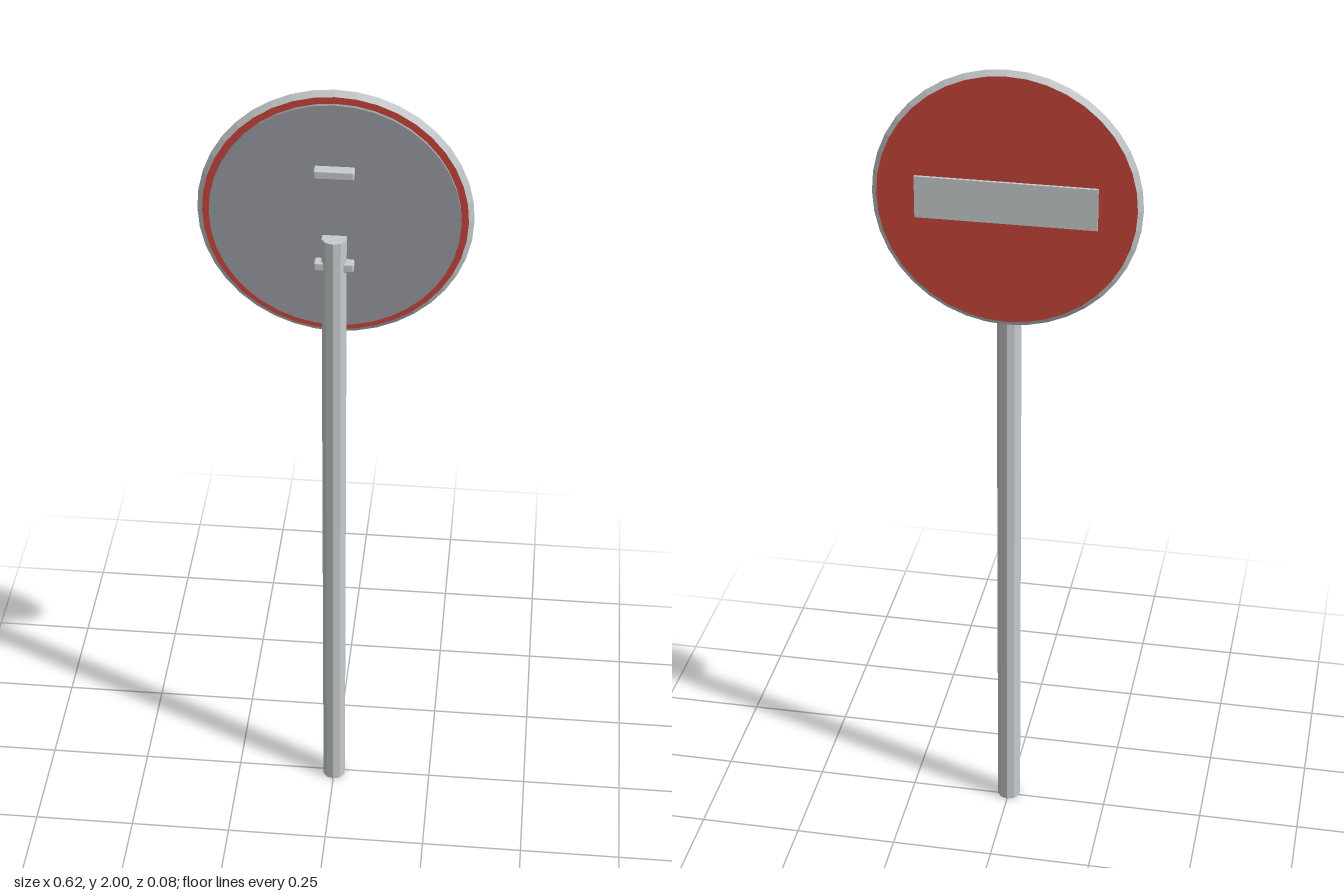
import * as THREE from 'three';
import { RoundedBoxGeometry } from 'three/addons/geometries/RoundedBoxGeometry.js';

const CENTER_Y = 1.689; // height of the sign's centre
const SIDES = 40;

function material(name, color) {
  const m = new THREE.MeshStandardMaterial({ color });
  m.name = name;
  return m;
}

// Gives every face its own normal
function faceted(geometry) {
  const g = geometry.index ? geometry.toNonIndexed() : geometry;
  g.computeVertexNormals();
  return g;
}

// Disc facing along z, between two depths
function disc(radius, z0, z1) {
  const g = new THREE.CylinderGeometry(radius, radius, z1 - z0, SIDES);
  g.rotateX(Math.PI / 2);
  g.translate(0, CENTER_Y, (z0 + z1) / 2);
  return faceted(g);
}

export function createModel() {
  const group = new THREE.Group();
  const metal = material('light metal', 0xc8ccce);
  const backing = material('grey backing', 0x9a9ca4);
  const red = material('sign red', 0xc9443a);

  const add = (name, geometry, mat) => {
    const mesh = new THREE.Mesh(geometry, mat);
    mesh.name = name;
    group.add(mesh);
    return mesh;
  };

  // Ten-sided pole
  const pole = new THREE.CylinderGeometry(0.029, 0.029, 1.645, 10);
  pole.translate(0, 0.8225, 0.007);
  add('pole', faceted(pole), metal);

  // Red sign disc with a bevelled metal rim
  add('signDisc', disc(0.299, -0.033, -0.012), red);
  const profile = [[0.299, -0.033], [0.311, -0.024], [0.311, -0.021], [0.299, -0.012]];
  const rim = new THREE.LatheGeometry(profile.map(([r, z]) => new THREE.Vector2(r, z)), SIDES);
  rim.rotateX(Math.PI / 2);
  rim.translate(0, CENTER_Y, 0);
  add('rim', faceted(rim), metal);

  // Plate behind the disc, on the pole side
  add('backPlate', disc(0.283, -0.012, -0.004), backing);

  // Horizontal bar on the sign face
  const bar = new THREE.BoxGeometry(0.42, 0.1, 0.008);
  bar.translate(0, CENTER_Y, -0.036);
  add('signBar', bar, metal);

  // Mounting brackets
  for (const [name, y] of [['upperBracket', 1.812], ['lowerBracket', 1.575]]) {
    const bracket = add(name, new RoundedBoxGeometry(0.09, 0.022, 0.027, 2, 0.004), metal);
    bracket.position.set(0, y, 0.009);
  }

  return group;
}
